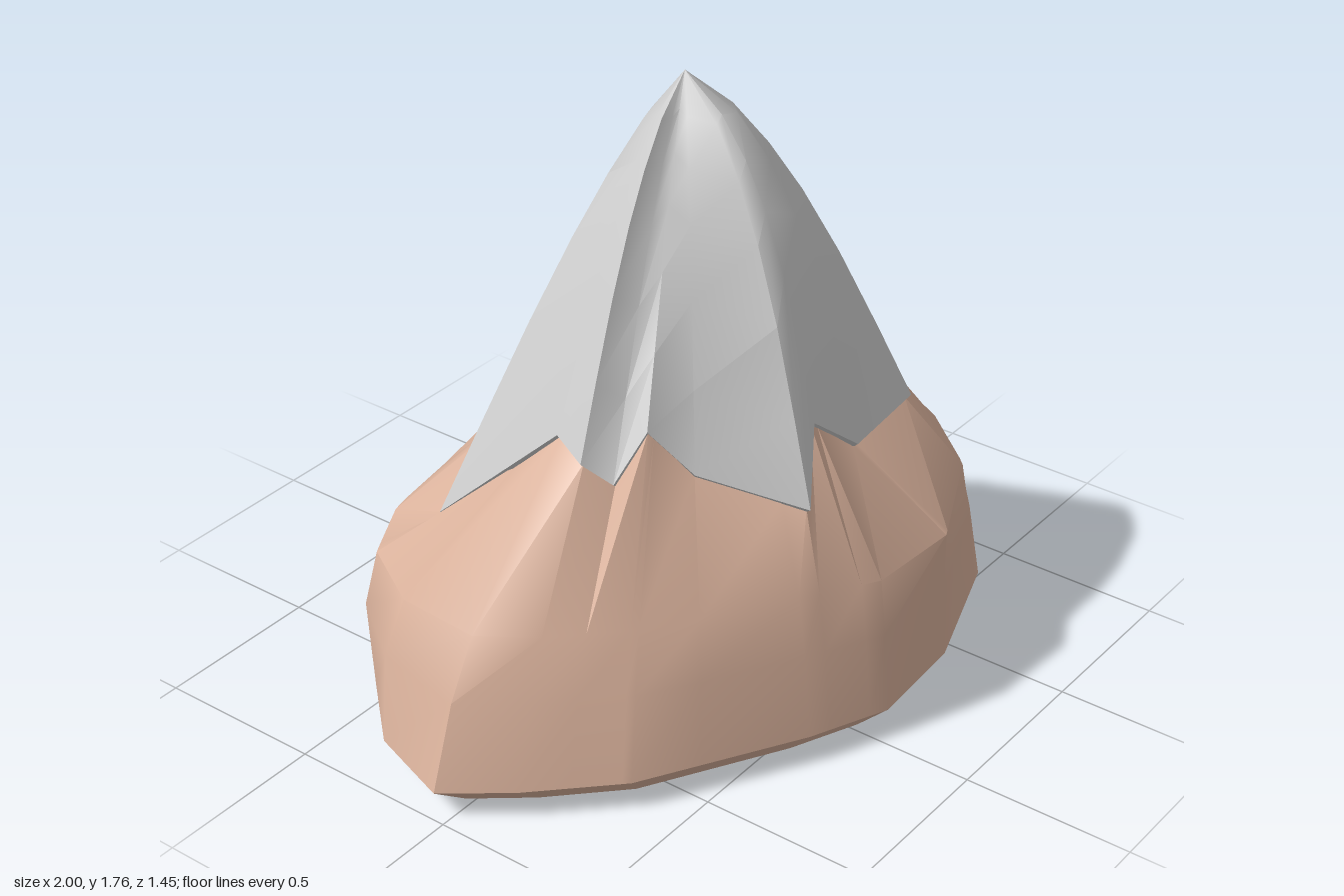
import * as THREE from 'three';
import { toCreasedNormals } from 'three/addons/utils/BufferGeometryUtils.js';

const CX = 0.05; // vertical axis the cross-sections wind around
const angle = (p) => Math.atan2(p[2], p[0] - CX);
const byAngle = (a, b) => angle(a) - angle(b);

// jagged lower edge of the snow: x, y, z, outward bulge of the slope above
const rim = [
  [-0.11, 0.74, 0.54, 0.12], [0, 0.93, 0.47, 0.12], [0.23, 0.75, 0.46, 0.13], [0.54, 0.75, 0.43, 0.09],
  [0.58, 0.8, 0.2, 0.05], [0.73, 0.76, 0.18, 0.03], [0.63, 0.82, 0.04, 0.03], [0.73, 0.76, -0.07, 0],
  [0.69, 0.57, -0.17, 0], [0.55, 0.77, -0.44, 0.02], [0.39, 0.93, -0.35, 0.0], [0.41, 0.75, -0.55, 0.02],
  [0.16, 0.68, -0.53, 0.01], [0.06, 0.74, -0.42, -0.02], [-0.04, 0.72, -0.49, 0.01], [-0.15, 0.77, -0.45, 0.03],
  [-0.28, 0.79, -0.36, 0.05], [-0.51, 0.57, -0.41, 0.06], [-0.47, 0.94, -0.02, 0.08], [-0.51, 0.91, 0.09, 0.1],
  [-0.45, 0.84, 0.15, 0.06], [-0.37, 0.98, 0.2, 0.03], [-0.27, 0.83, 0.28, 0.06],
].sort(byAngle);

// widest outline of the rock, and its outline half way up (x, z)
const toRing = (pts) => pts.map(([x, z]) => [x, 0, z]).sort(byAngle);
const foot = toRing([
  [1, 0.3], [0.99, 0.02], [0.75, -0.18], [0.71, -0.35], [0.57, -0.56], [0.27, -0.56], [0.19, -0.6],
  [-0.07, -0.65], [-0.26, -0.73], [-0.48, -0.66], [-0.73, -0.52], [-0.91, -0.31], [-1, -0.03],
  [-0.87, 0.14], [-0.65, 0.36], [-0.2, 0.62], [0.03, 0.72], [0.35, 0.7], [0.75, 0.56], [0.95, 0.37],
]);
const waist = toRing([
  [0.91, 0.2], [0.85, 0], [0.73, -0.18], [0.69, -0.35], [0.56, -0.54], [0.25, -0.55], [-0.1, -0.59],
  [-0.26, -0.65], [-0.5, -0.59], [-0.7, -0.48], [-0.81, -0.28], [-0.83, -0.03], [-0.72, 0.13],
  [-0.5, 0.35], [-0.15, 0.57], [0.03, 0.68], [0.32, 0.7], [0.65, 0.55], [0.82, 0.37],
]);

// point where the ray at angle a crosses a closed ring
function crossing(ring, a) {
  const dx = Math.cos(a), dz = Math.sin(a);
  for (let i = 0; i < ring.length; i++) {
    const p = ring[i], q = ring[(i + 1) % ring.length];
    const sp = (p[0] - CX) * dz - p[2] * dx, sq = (q[0] - CX) * dz - q[2] * dx;
    if (sp < -1e-9 || sq > 1e-9 || sp - sq < 1e-9) continue;
    const t = sp / (sp - sq);
    return [0, 1, 2].map((k) => p[k] + (q[k] - p[k]) * t);
  }
  return ring.find((p) => Math.abs(angle(p) - a) < 1e-6) || ring[0];
}

// skin a stack of equal-length rings, bottom to top
function loft(rings, crease) {
  const n = rings[0].length, index = [];
  for (let i = 0; i < rings.length - 1; i++) {
    for (let j = 0; j < n; j++) {
      const a = i * n + j, b = i * n + (j + 1) % n;
      index.push(a, a + n, b, b, a + n, b + n);
    }
  }
  const g = new THREE.BufferGeometry();
  g.setAttribute('position', new THREE.Float32BufferAttribute(rings.flat(2), 3));
  g.setIndex(index);
  return toCreasedNormals(g, crease);
}

const scaled = (p, s, dy = 0) => [CX + (p[0] - CX) * s, p[1] + dy, p[2] * s];
const mix = (p, q, t) => [0, 1, 2].map((k) => p[k] + (q[k] - p[k]) * t);

function rockGeometry() {
  const angles = [...rim, ...foot].map(angle).sort((a, b) => a - b)
    .filter((a, i, all) => i === 0 || a - all[i - 1] > 0.02);
  const rings = Array.from({ length: 7 }, () => []);
  for (const a of angles) {
    const f = crossing(foot, a), w = crossing(waist, a), r = crossing(rim, a);
    const back = f[2] < 0;
    const belly = mix(f, w, 0.5);
    rings[0].push([0, 0, 0]);
    rings[1].push([f[0] * 0.88, 0, f[2] * (back ? 0.77 : 0.87)]);
    rings[2].push([f[0], 0.09, f[2] * (back ? 0.92 : 1)]);
    rings[3].push([belly[0], 0.33, back ? f[2] : belly[2]]);
    rings[4].push([w[0], 0.5, w[2]]);
    rings[5].push(scaled(r, 0.97, -0.005));
    rings[6].push([0.08, 1.25, -0.02]);
  }
  return loft(rings, 0.75);
}

function snowGeometry() {
  const apex = [0.12, 1.76, -0.05];
  const rings = [rim.map((p) => scaled(p, 0.94, -0.025)), rim.map((p) => p.slice(0, 3))];
  // slopes swell outward most near the summit
  for (const t of [0.78, 0.55, 0.36, 0.22, 0.1, 0]) {
    rings.push(rim.map((p) => {
      const q = mix(apex, p, t), a = angle(p);
      const push = p[3] * Math.sin(Math.PI * Math.pow(t, 0.6));
      return [q[0] + push * Math.cos(a), q[1], q[2] + push * Math.sin(a)];
    }));
  }
  return loft(rings, 0.7);
}

export function createModel() {
  const group = new THREE.Group();
  group.name = 'mountain';
  const add = (name, geometry, color) => {
    const material = new THREE.MeshStandardMaterial({ color, side: THREE.DoubleSide });
    const mesh = new THREE.Mesh(geometry, material);
    mesh.name = name;
    group.add(mesh);
  };
  add('rockBase', rockGeometry(), 0xdab29c);
  add('snowCap', snowGeometry(), 0xcccccc);
  return group;
}
